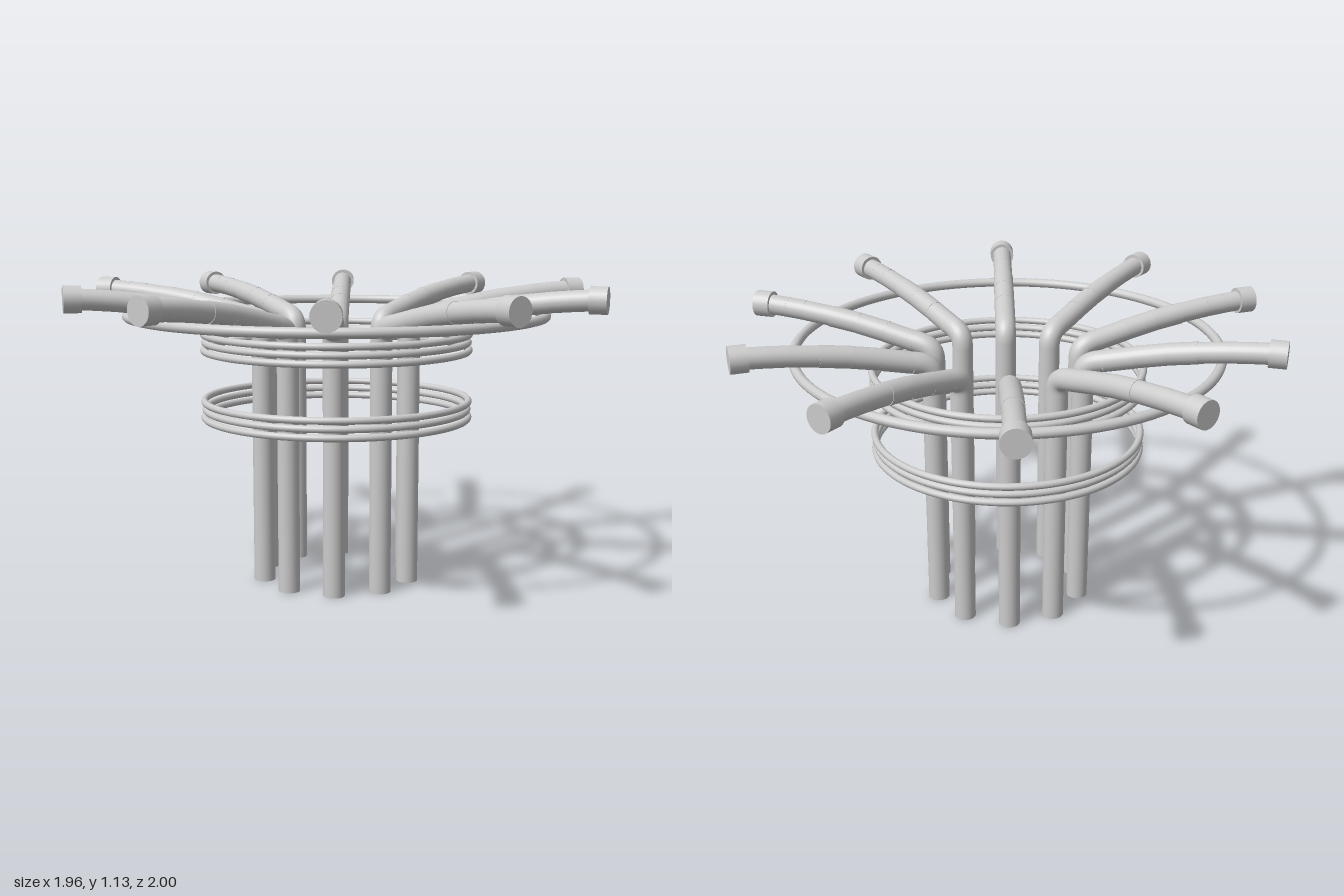
import * as THREE from 'three';

const material = new THREE.MeshStandardMaterial({ color: 0xcccccc });

function add(parent, name, geometry, x = 0, y = 0, z = 0) {
  const mesh = new THREE.Mesh(geometry, material);
  mesh.name = name;
  mesh.position.set(x, y, z);
  parent.add(mesh);
  return mesh;
}

// Straight rod between two points in the (radius, height) plane
function rod(parent, name, a, b, radius) {
  const from = new THREE.Vector3(0, a[1], a[0]);
  const to = new THREE.Vector3(0, b[1], b[0]);
  const dir = to.clone().sub(from);
  const mesh = add(parent, name, new THREE.CylinderGeometry(radius, radius, dir.length(), 24));
  mesh.position.copy(from).add(to).multiplyScalar(0.5);
  mesh.quaternion.setFromUnitVectors(new THREE.Vector3(0, 1, 0), dir.normalize());
  return mesh;
}

// One bent bar pointing along +z: leg, elbow, gently rising arm, end cap
function makeBar() {
  const bar = new THREE.Group();
  bar.name = 'bentBar';
  rod(bar, 'leg', [0.285, 0], [0.285, 0.92], 0.04);

  const elbow = new THREE.CubicBezierCurve3(
    new THREE.Vector3(0, 0.92, 0.285),
    new THREE.Vector3(0, 0.965, 0.285),
    new THREE.Vector3(0, 0.98, 0.305),
    new THREE.Vector3(0, 0.99, 0.36)
  );
  add(bar, 'elbow', new THREE.TubeGeometry(elbow, 16, 0.04, 24));

  // Arm sections, each overlapping the next a little
  const path = [[0.36, 0.99], [0.47, 1.016], [0.58, 1.039], [0.69, 1.056], [0.8, 1.069], [0.87, 1.075], [0.95, 1.08]];
  for (let i = 0; i < path.length - 1; i++) {
    rod(bar, 'armSection', path[i], [path[i + 1][0] + 0.004, path[i + 1][1]], i < 3 ? 0.04 : 0.038);
  }
  rod(bar, 'endCap', [0.937, 1.08], [1, 1.08], 0.049);
  return bar;
}

function ring(parent, name, radius, tube, y) {
  add(parent, name, new THREE.TorusGeometry(radius, tube, 12, 96), 0, y, 0).rotation.x = Math.PI / 2;
}

export function createModel() {
  const model = new THREE.Group();
  model.name = 'ringedBarFrame';

  // Ten bars around the axis
  const count = 10;
  for (let i = 0; i < count; i++) {
    const bar = makeBar();
    bar.rotation.y = THREE.MathUtils.degToRad(2.9) + (i / count) * Math.PI * 2;
    model.add(bar);
  }

  // Wide ring carrying the arms
  ring(model, 'supportRing', 0.775, 0.018, 1.01);

  // Two stacks of three thin hoops
  for (const y of [0.655, 0.907]) {
    const stack = new THREE.Group();
    stack.name = 'hoopStack';
    ring(stack, 'upperHoop', 0.498, 0.013, y + 0.03);
    ring(stack, 'middleHoop', 0.494, 0.013, y);
    ring(stack, 'lowerHoop', 0.498, 0.013, y - 0.03);
    model.add(stack);
  }
  return model;
}
